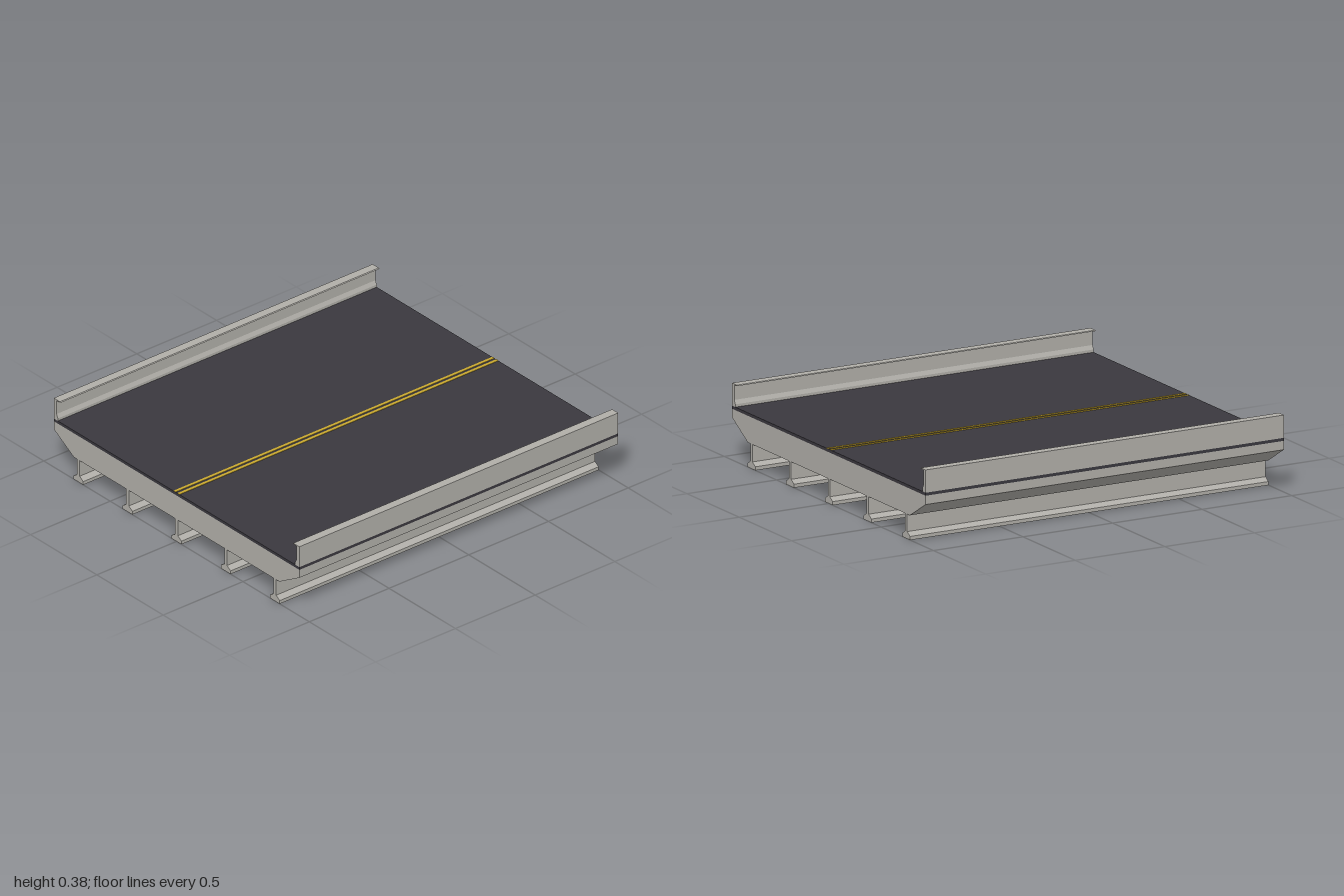
import * as THREE from 'three';

const LENGTH = 2;

// Extrude a (z, y) cross-section along the whole span in x
function extrudeAlongX(points) {
  const shape = new THREE.Shape(points.map(([z, y]) => new THREE.Vector2(z, y)));
  const geometry = new THREE.ExtrudeGeometry(shape, { depth: LENGTH, bevelEnabled: false });
  geometry.translate(0, 0, -LENGTH / 2);
  geometry.rotateY(-Math.PI / 2);
  return geometry;
}

export function createModel() {
  const group = new THREE.Group();
  group.name = 'bridgeSection';

  const concrete = new THREE.MeshStandardMaterial({ color: 0xb0aea8 });
  concrete.name = 'concrete';
  const asphalt = new THREE.MeshStandardMaterial({ color: 0x3a383e });
  asphalt.name = 'asphalt';
  const yellow = new THREE.MeshStandardMaterial({ color: 0xc9a82e });
  yellow.name = 'yellowPaint';

  const add = (name, geometry, material, z = 0, y = 0) => {
    const mesh = new THREE.Mesh(geometry, material);
    mesh.name = name;
    mesh.position.set(0, y, z);
    group.add(mesh);
  };

  // Concrete deck with sloping undersides at the edges
  add('deck', extrudeAlongX([
    [-0.775, 0.123], [0.775, 0.123], [0.925, 0.212],
    [0.925, 0.256], [-0.925, 0.256], [-0.925, 0.212],
  ]), concrete);

  // Road surface
  add('roadSurface', new THREE.BoxGeometry(LENGTH, 0.015, 1.85), asphalt, 0, 0.2635);

  // Double centre line
  for (const z of [-0.015, 0.015]) {
    add('centreLine', new THREE.BoxGeometry(LENGTH, 0.002, 0.016), yellow, z, 0.272);
  }

  // Parapets with a flared foot and a thin lip facing the road
  const parapet = [
    [0.925, 0.271], [0.925, 0.385], [0.879, 0.385], [0.874, 0.381],
    [0.904, 0.379], [0.904, 0.305], [0.894, 0.285], [0.894, 0.271],
  ];
  for (const side of [1, -1]) {
    add('parapet', extrudeAlongX(parapet.map(([z, y]) => [z * side, y])), concrete);
  }

  // Girders with widened bottom flanges
  const girder = extrudeAlongX([
    [-0.037, 0], [0.037, 0], [0.037, 0.018], [0.01, 0.036],
    [0.01, 0.123], [-0.01, 0.123], [-0.01, 0.036], [-0.037, 0.018],
  ]);
  for (let i = -2; i <= 2; i++) add('girder', girder, concrete, i * 0.37);

  return group;
}
